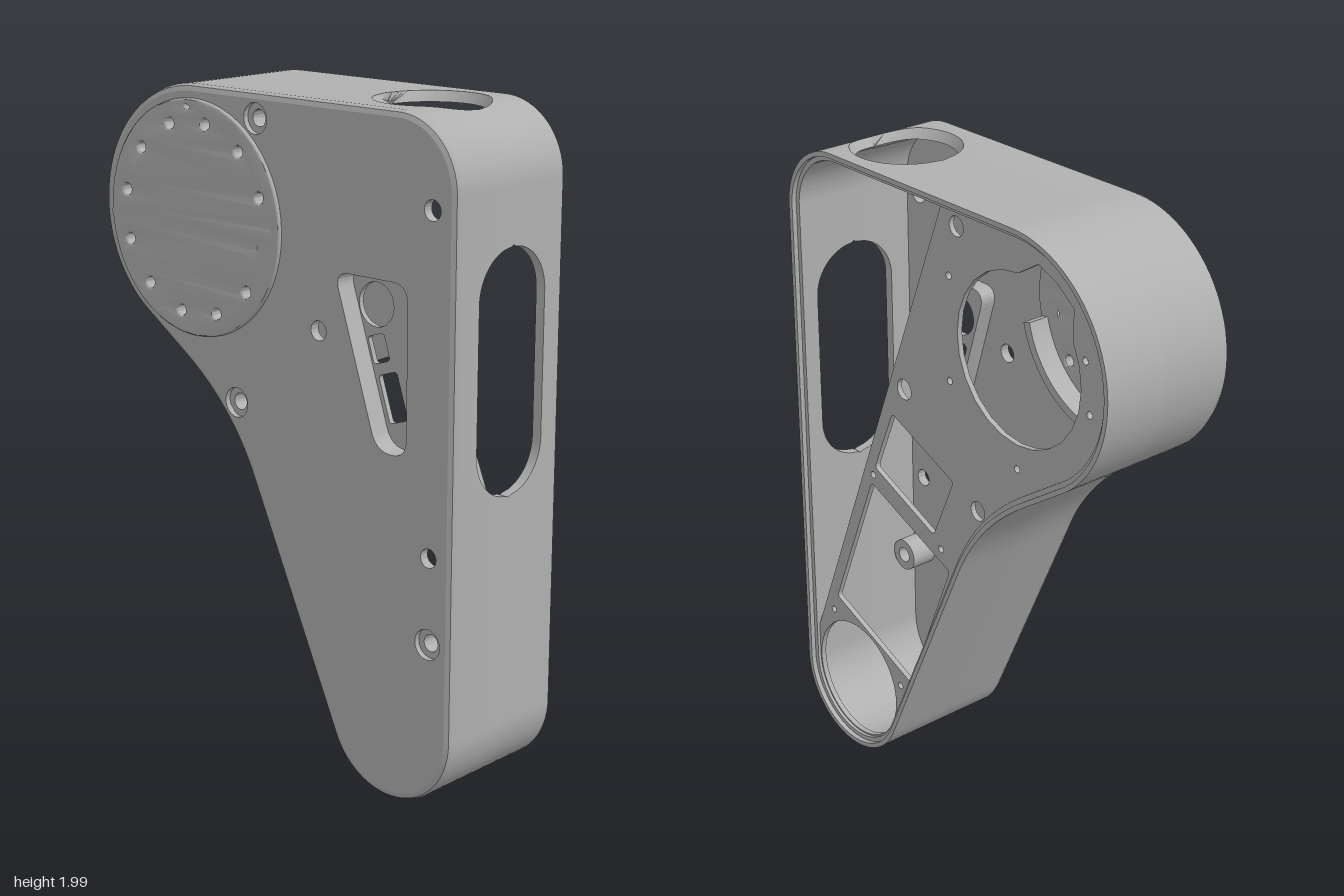
import * as THREE from 'three';
import { toCreasedNormals } from 'three/addons/utils/BufferGeometryUtils.js';

const BACK = -0.2375, FRONT = 0.217, INNER = 0.187, MID = -0.025;
const V = (x, y) => new THREE.Vector2(x, y);
const grey = new THREE.MeshStandardMaterial({ color: 0xb0b0b0 });
grey.name = 'plain grey';

// Counter-clockwise outline of the housing
function makeOutline() {
  const pts = [];
  const line = (x0, y0, x1, y1, n) => {
    for (let i = 0; i < n; i++) pts.push(V(x0 + (x1 - x0) * i / n, y0 + (y1 - y0) * i / n));
  };
  const arc = (cx, cy, r, a0, a1, n) => {
    for (let i = 0; i < n; i++) {
      const a = THREE.MathUtils.degToRad(a0 + (a1 - a0) * i / n);
      pts.push(V(cx + r * Math.cos(a), cy + r * Math.sin(a)));
    }
  };
  line(0.48, 2, -0.31, 2, 160);
  arc(-0.31, 1.615, 0.385, 90, 236, 36);
  line(-0.525, 1.296, -0.36, 1.185, 4);
  const bend = new THREE.QuadraticBezierCurve(V(-0.36, 1.185), V(-0.169, 1.056), V(-0.08, 0.86));
  pts.push(...bend.getPoints(14).slice(0, -1));
  line(-0.08, 0.86, 0.251, 0.139, 12);
  arc(0.46, 0.235, 0.23, 204.6, 360, 32);
  line(0.69, 0.235, 0.69, 1.79, 320);
  arc(0.48, 1.79, 0.21, 0, 90, 40);
  return pts;
}

function inset(pts, d) {
  const n = pts.length;
  return pts.map((p, i) => {
    const t = pts[(i + 1) % n].clone().sub(pts[(i + n - 1) % n]).normalize();
    return V(p.x - t.y * d, p.y + t.x * d);
  });
}

// Half height in z of the wall opening at a wall point
function gap(p, flare) {
  let d = 0, r = 0;
  if (p.y > 1.85) { // round hole in the top
    d = p.x - 0.393; r = 0.148 + flare;
  } else if (p.x > 0.6) { // long slot in the side
    d = Math.max(0, Math.abs(p.y - 1.27) - 0.212); r = 0.143;
  }
  return Math.sqrt(Math.max(0, r * r - d * d));
}

// Sweep a closed profile of [inset, z or z(point)] round the outline
function sweep(outline, profile) {
  const rings = profile.map(([d, z]) =>
    inset(outline, d).map(p => [p.x, p.y, typeof z === 'function' ? z(p) : z]));
  const pos = [], n = outline.length;
  rings.forEach((a, k) => {
    const b = rings[(k + 1) % rings.length];
    for (let i = 0; i < n; i++) {
      const j = (i + 1) % n;
      pos.push(...a[i], ...a[j], ...b[j], ...a[i], ...b[j], ...b[i]);
    }
  });
  const g = new THREE.BufferGeometry();
  g.setAttribute('position', new THREE.Float32BufferAttribute(pos, 3));
  return toCreasedNormals(g, 0.5);
}

// Polygon with rounded corners
function roundPoly(corners, r) {
  const s = new THREE.Shape(), n = corners.length;
  corners.forEach((c, i) => {
    const toward = q => V(c[0], c[1]).add(V(q[0] - c[0], q[1] - c[1]).setLength(r));
    const a = toward(corners[(i + n - 1) % n]), b = toward(corners[(i + 1) % n]);
    if (i) s.lineTo(a.x, a.y); else s.moveTo(a.x, a.y);
    s.quadraticCurveTo(c[0], c[1], b.x, b.y);
  });
  s.closePath();
  return s;
}

function circle(x, y, r) {
  const s = new THREE.Shape();
  s.absarc(x, y, r, 0, Math.PI * 2, false);
  return s;
}

// Rounded window leaning to the left
function window2D(x, y, w, h, tilt) {
  return roundPoly([[-1, -1], [1, -1], [1, 1], [-1, 1]].map(([a, b]) => {
    const p = V(a * w / 2, b * h / 2).rotateAround(V(0, 0), tilt);
    return [x + p.x, y + p.y];
  }), 0.012);
}

function slab(shape, holes, z0, z1, bevel = 0) {
  shape.holes.push(...holes);
  const g = new THREE.ExtrudeGeometry(shape, {
    depth: z1 - z0 - bevel, curveSegments: 28, bevelEnabled: bevel > 0,
    bevelSize: bevel, bevelOffset: -bevel, bevelThickness: bevel, bevelSegments: 3,
  });
  g.translate(0, 0, z0);
  return toCreasedNormals(g, 0.5);
}

export function createModel() {
  const model = new THREE.Group();
  model.name = 'housing';
  const add = (name, geometry) => {
    const m = new THREE.Mesh(geometry, grey);
    m.name = name;
    model.add(m);
  };
  const outline = makeOutline();

  // Side wall in two halves, which part around the openings
  const lo = f => p => MID - gap(p, f), hi = f => p => MID + gap(p, f);
  add('rearWall', sweep(outline, [
    [0, BACK], [0, lo(0.018)], [0.03, lo(0)], [0.03, -0.222], [0.015, -0.222], [0.015, BACK]]));
  add('frontWall', sweep(outline, [
    [0.03, hi(0)], [0, hi(0.018)], [0, 0.197], [0.006, 0.211], [0.02, FRONT], [0.03, INNER]]));

  // Front plate
  const bosses = [[-0.055, 1.925], [-0.14, 1.08], [0.605, 0.515]];
  const recess = [[0.25, 1.53], [0.41, 1.04], [0.52, 1.04], [0.52, 1.53]];
  const recessOuter = [[0.235, 1.545], [0.4, 1.025], [0.535, 1.025], [0.535, 1.545]];
  const disc = [-0.305, 1.608];
  add('frontPlate', slab(new THREE.Shape(inset(outline, 0.02)), [
    roundPoly(recess, 0.055), circle(...disc, 0.34),
    circle(0.605, 1.745, 0.029), circle(0.605, 0.77, 0.028), circle(0.19, 1.35, 0.029),
    ...bosses.map(b => circle(...b, 0.045))], INNER, FRONT));

  // Sunken panel with its windows
  add('recessWall', slab(roundPoly(recessOuter, 0.06), [roundPoly(recess, 0.055)], 0.135, 0.2));
  add('recessFloor', slab(roundPoly(recess, 0.055), [
    circle(0.35, 1.44, 0.064), window2D(0.36, 1.315, 0.062, 0.08, 0.32),
    window2D(0.415, 1.182, 0.07, 0.14, 0.32)], 0.135, 0.152));

  // Screw posts
  bosses.forEach(b => add('screwPost', slab(circle(...b, 0.052), [circle(...b, 0.025)], 0.1, 0.2)));

  // Round cover with a ring of small holes
  const ring = (r, a0, count, size) => Array.from({ length: count }, (_, i) => {
    const a = THREE.MathUtils.degToRad(a0) + i * Math.PI * 2 / count;
    return circle(disc[0] + r * Math.cos(a), disc[1] + r * Math.sin(a), size);
  });
  add('roundCover', slab(circle(...disc, 0.352),
    [...ring(0.287, 79, 12, 0.016), ...ring(0.331, 93, 4, 0.009)], 0.19, 0.2375 - 0.009, 0.009));
  // Curved ribs behind the cover
  [0.5, 3.64].forEach(a => {
    const s = new THREE.Shape();
    s.absarc(...disc, 0.345, a, a + 2.4, false);
    s.absarc(...disc, 0.318, a + 2.4, a, true);
    add('curvedRib', slab(s, [], 0.11, 0.195));
  });

  // Open frame inside the back, cut off along a slanted edge
  const border = inset(outline, 0.02).filter(p => p.x < 0.64 - 0.4 * (p.y - 0.4));
  const motorOpening = new THREE.Shape(Array.from({ length: 24 }, (_, i) => {
    const r = i >= 7 && i <= 9 ? 0.315 : 0.255, a = i * Math.PI / 12;
    return V(-0.31 + r * Math.cos(a), 1.61 + r * Math.sin(a));
  }));
  add('rearFrame', slab(new THREE.Shape(border), [
    motorOpening, circle(0.46, 0.235, 0.195),
    roundPoly([[0.555, 0.5], [0.36, 0.98], [-0.008, 0.825], [0.187, 0.345]], 0.015),
    roundPoly([[0.34, 1.04], [0.25, 1.25], [-0.03, 1.13], [0.064, 0.92]], 0.015),
    circle(0.19, 1.35, 0.032), circle(-0.055, 1.925, 0.03), circle(-0.14, 1.08, 0.03),
    ...[[0.577, 0.44], [0.24, 0.31], [0.03, 0.885], [0.35, 1.01], [-0.02, 1.45],
      [-0.02, 1.77], [-0.6, 1.55], [-0.58, 1.7], [-0.31, 1.28]].map(p => circle(...p, 0.011)),
  ], -0.212, -0.195));
  return model;
}
